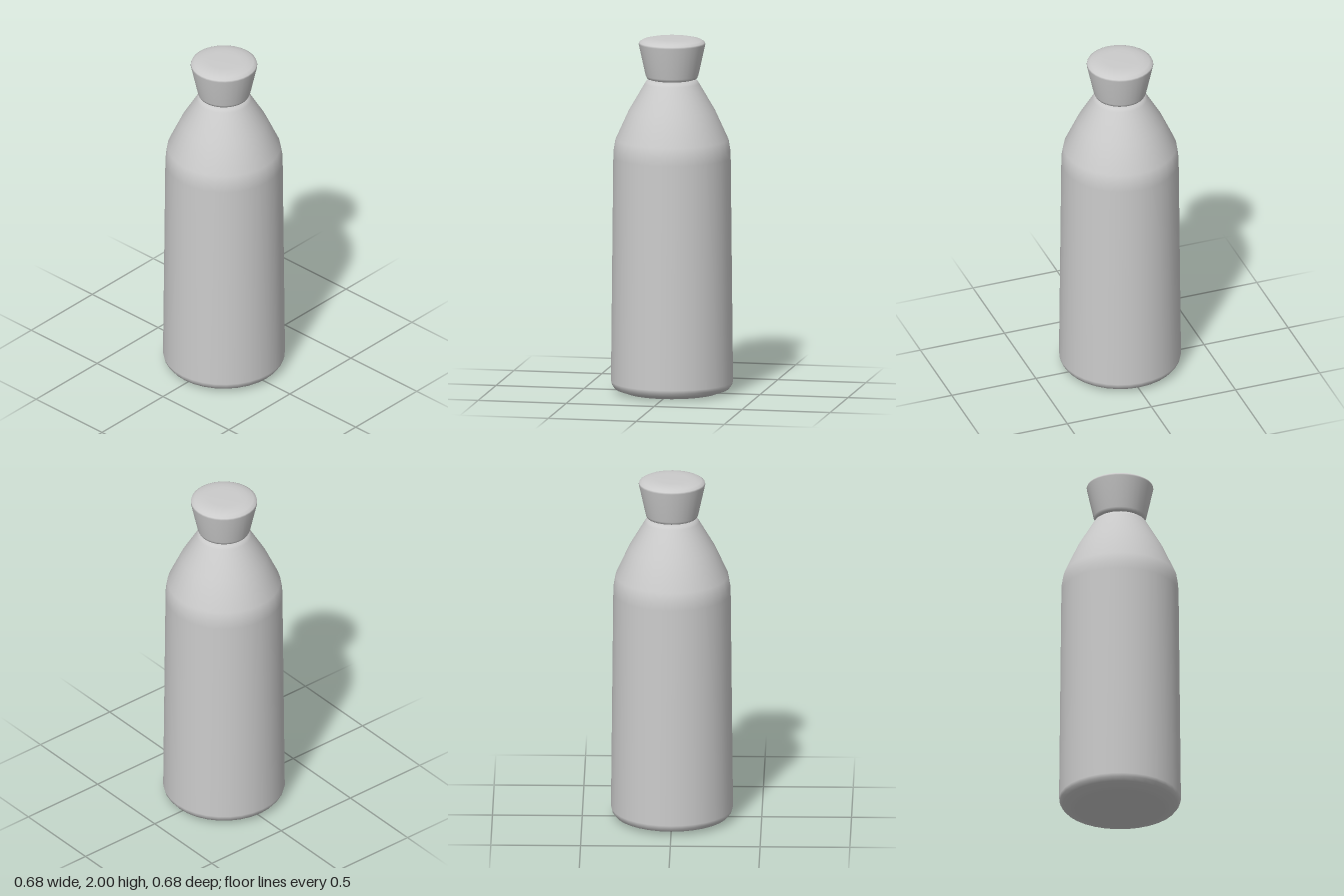
import * as THREE from 'three';

const SEGMENTS = 32;

// Surface of revolution from [radius, height] pairs, listed bottom to top
function turned(name, profile) {
  const points = profile.map(([r, y]) => new THREE.Vector2(r, y));
  const mesh = new THREE.Mesh(
    new THREE.LatheGeometry(points, SEGMENTS),
    new THREE.MeshStandardMaterial({ color: 0xcccccc })
  );
  mesh.name = name;
  return mesh;
}

export function createModel() {
  const group = new THREE.Group();
  group.name = 'bottle';

  // Body: bevelled base, slightly tapering wall, sloping shoulder, closed neck
  group.add(turned('body', [
    [0, 0.005], [0.25, 0.003], [0.265, 0.005], [0.32, 0.025], [0.335, 0.045], [0.34, 0.065],
    [0.327, 1.33], [0.325, 1.37], [0.315, 1.43], [0.24, 1.595],
    [0.152, 1.745], [0.142, 1.76], [0.125, 1.772], [0, 1.775],
  ]));

  // Stopper: flared plug with a softened rim
  group.add(turned('stopper', [
    [0, 1.768], [0.125, 1.77], [0.14, 1.775], [0.147, 1.79],
    [0.186, 1.968], [0.183, 1.978], [0.165, 1.989], [0.13, 1.997], [0.09, 2], [0, 2],
  ]));

  return group;
}
